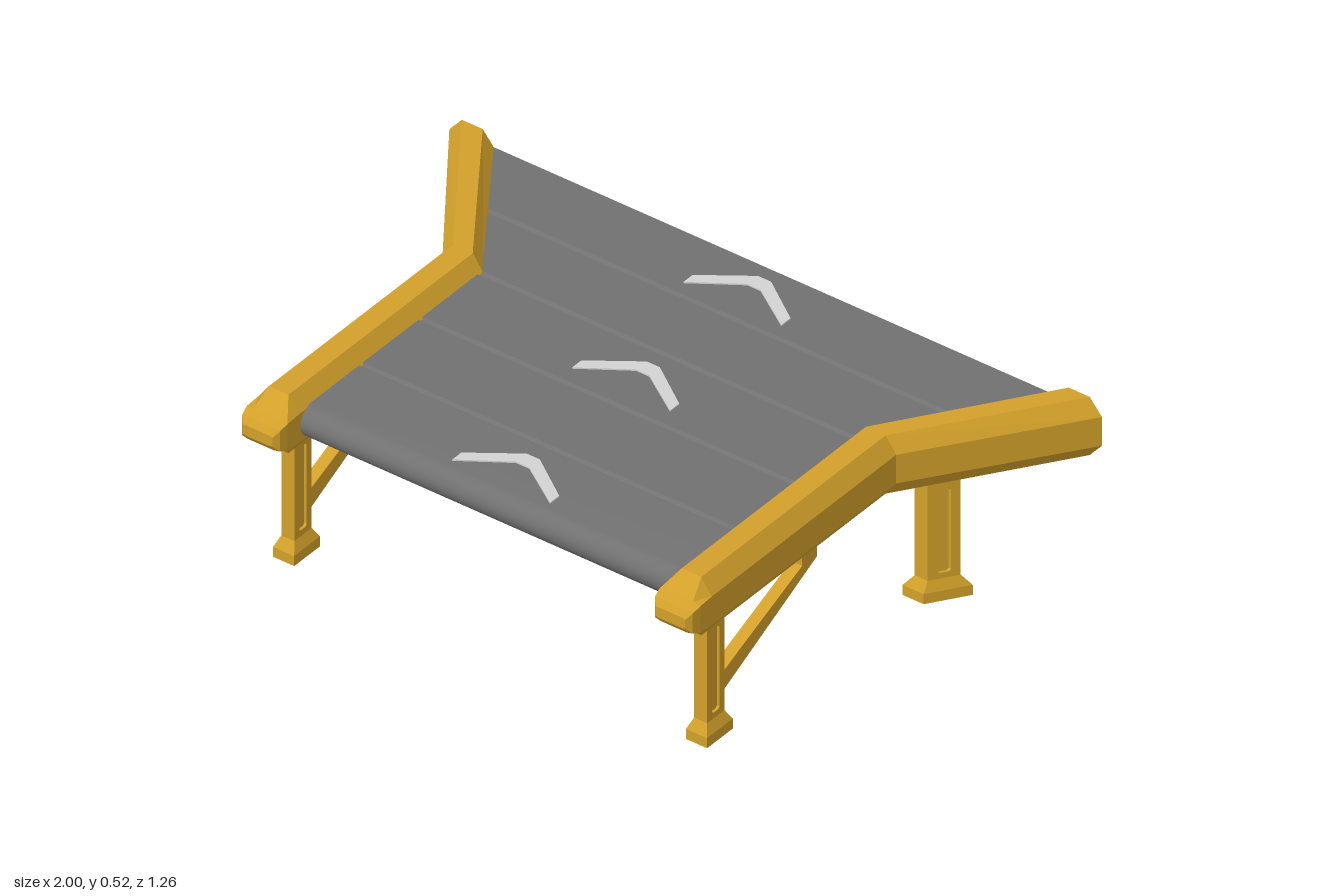
import * as THREE from 'three';
import { toCreasedNormals } from 'three/addons/utils/BufferGeometryUtils.js';

const FLARE = 0.69;   // sideways run of the rails per unit of depth behind the bend
const BEND_Z = -0.2, BACK_Z = -0.63, RAIL_X = 0.6325;

// Joins rings of 3D points into a faceted skin; rings run counter-clockwise around the advance.
function loft(rings, capStart, capEnd) {
  const out = [], n = rings[0].length;
  const tri = (a, b, c) => out.push(...a, ...b, ...c);
  for (let i = 0; i < rings.length - 1; i++) {
    for (let j = 0; j < n; j++) {
      const k = (j + 1) % n;
      const a = rings[i][j], b = rings[i][k], c = rings[i + 1][k], d = rings[i + 1][j];
      tri(a, b, c);
      tri(a, c, d);
    }
  }
  const first = rings[0], last = rings[rings.length - 1];
  for (let j = 1; j < n - 1; j++) {
    if (capStart) tri(first[0], first[j + 1], first[j]);
    if (capEnd) tri(last[0], last[j], last[j + 1]);
  }
  const geo = new THREE.BufferGeometry();
  geo.setAttribute('position', new THREE.Float32BufferAttribute(out, 3));
  geo.computeVertexNormals();
  return geo;
}

// Extrudes a (z, y) outline across x, centred on x = 0.
function extrudeAcross(points, thickness, hole) {
  const toVec = (list) => list.map(([z, y]) => new THREE.Vector2(z, y));
  const shape = new THREE.Shape(toVec(points));
  if (hole) shape.holes.push(new THREE.Path(toVec(hole)));
  const geo = new THREE.ExtrudeGeometry(shape, { depth: thickness, bevelEnabled: false });
  geo.translate(0, 0, -thickness / 2);
  geo.rotateY(-Math.PI / 2);
  return geo;
}

function mesh(name, geometry, material) {
  const m = new THREE.Mesh(geometry, material);
  m.name = name;
  return m;
}

// Octagonal rail, open at the back, with a tapered rounded nose.
function railGeometry() {
  const y = 0.4375;
  // z, centre x, half width, flat top half width, side half height, half height
  const sections = [
    [BACK_Z, 0.93, 0.07, 0.032, 0.043, 0.0875],
    [BEND_Z, RAIL_X, 0.0625, 0.03, 0.043, 0.0875],
    [0.545, RAIL_X, 0.0625, 0.03, 0.043, 0.0875],
    [0.592, RAIL_X, 0.0625, 0.04, 0.04, 0.045],
    [0.617, RAIL_X, 0.058, 0.04, 0.03, 0.034],
    [0.63, RAIL_X, 0.045, 0.035, 0.013, 0.016],
  ];
  const rings = sections.map(([z, x, h, t, s, v]) =>
    [[h, -s], [h, s], [t, v], [-t, v], [-h, s], [-h, -s], [-t, -v], [t, -v]]
      .map(([dx, dy]) => [x + dx, y + dy, z]));
  return loft(rings, false, true);
}

// Leg with a recessed slot on both faces and a flared foot; shear follows the rail.
function makeLeg(name, x, z, shear, material) {
  const leg = new THREE.Group();
  leg.name = name;
  const w = 0.035, s = 0.015;
  const post = extrudeAcross(
    [[-w, 0.05], [w, 0.05], [w, 0.37], [-w, 0.37]], 0.04,
    [[-s, 0.083], [-s, 0.322], [-s + 0.005, 0.328], [s - 0.005, 0.328],
      [s, 0.322], [s, 0.083], [s - 0.005, 0.077], [-s + 0.005, 0.077]]);
  const web = extrudeAcross([[-0.02, 0.07], [0.02, 0.07], [0.02, 0.335], [-0.02, 0.335]], 0.024);
  const foot = loft([[0, 0.0325, 0.052], [0.03, 0.0325, 0.052], [0.06, 0.02, 0.035]]
    .map(([y, hx, hz]) => [[-hx, y, hz], [hx, y, hz], [hx, y, -hz], [-hx, y, -hz]]), true, true);
  const parts = { post, slotPanel: web, foot };
  for (const [partName, geo] of Object.entries(parts)) {
    const p = geo.attributes.position;
    for (let i = 0; i < p.count; i++) p.setX(i, p.getX(i) - shear * p.getZ(i));
    geo.computeVertexNormals();
    leg.add(mesh(partName, geo, material));
  }
  leg.position.set(x, 0, z);
  return leg;
}

// Belt: a (z, y) profile with V grooves and a rounded front, widened behind the bend.
function beltGeometry() {
  const yMid = 0.44, r = 0.045, grooves = [-0.41, -0.19, 0.05, 0.29];
  const top = [[BACK_Z, r]];
  for (const g of grooves) top.push([g - 0.008, r], [g, r - 0.008], [g + 0.008, r]);
  const profile = [...top];
  for (let i = 0; i <= 10; i++) {
    const a = Math.PI / 2 - (i / 10) * Math.PI;
    profile.push([0.495 + r * Math.cos(a), r * Math.sin(a)]);
  }
  profile.push(...top.map(([z, y]) => [z, -y]).reverse());

  const halfWidth = (z) => 0.59 + Math.max(0, BEND_Z - z) * FLARE;
  const pos = [], index = [];
  profile.forEach(([z, y], i) => {
    pos.push(-halfWidth(z), yMid + y, z, halfWidth(z), yMid + y, z);
    if (i > 0) {
      const a = 2 * (i - 1);
      index.push(a, a + 2, a + 1, a + 1, a + 2, a + 3);
    }
  });
  const geo = new THREE.BufferGeometry();
  geo.setAttribute('position', new THREE.Float32BufferAttribute(pos, 3));
  geo.setIndex(index);
  return toCreasedNormals(geo, 0.45);
}

// Flat direction arrow with a blunt tip, its tip at z = 0.
function chevronGeometry() {
  const half = [[0.02, 0], [0.15, -0.093], [0.15, -0.13], [0.02, -0.043]];
  const pts = [...half, ...half.map(([x, y]) => [-x, y]).reverse()];
  const shape = new THREE.Shape(pts.map(([x, y]) => new THREE.Vector2(x, y)));
  const geo = new THREE.ExtrudeGeometry(shape, { depth: 0.008, bevelEnabled: false });
  return geo.rotateX(-Math.PI / 2);
}

export function createModel() {
  const gold = new THREE.MeshStandardMaterial({ color: 0xd2a02a, side: THREE.DoubleSide });
  gold.name = 'yellow frame';
  const grey = new THREE.MeshStandardMaterial({ color: 0x717171, side: THREE.DoubleSide });
  grey.name = 'grey belt';
  const light = new THREE.MeshStandardMaterial({ color: 0xd2d2d2 });
  light.name = 'light arrow';

  const model = new THREE.Group();
  model.name = 'conveyor';

  // Belt and its arrows
  model.add(mesh('belt', beltGeometry(), grey));
  for (const z of [-0.585, -0.135, 0.35]) {
    const arrow = mesh('beltArrow', chevronGeometry(), light);
    arrow.position.set(0, 0.481, z);
    model.add(arrow);
  }

  // Frame sides, mirrored
  for (const side of [1, -1]) {
    const frame = new THREE.Group();
    frame.name = side > 0 ? 'leftFrame' : 'rightFrame';
    frame.add(mesh('rail', railGeometry(), gold));
    frame.add(makeLeg('frontLeg', RAIL_X, 0.473, 0, gold));
    frame.add(makeLeg('backLeg', 0.725, -0.328, FLARE, gold));
    const brace = mesh('brace', extrudeAcross(
      [[0.445, 0.115], [0.445, 0.173], [0.12, 0.31], [0.12, 0.36], [0.06, 0.36], [0.06, 0.305]],
      0.034), gold);
    brace.position.x = RAIL_X;
    frame.add(brace);
    frame.scale.x = side;
    model.add(frame);
  }
  return model;
}
